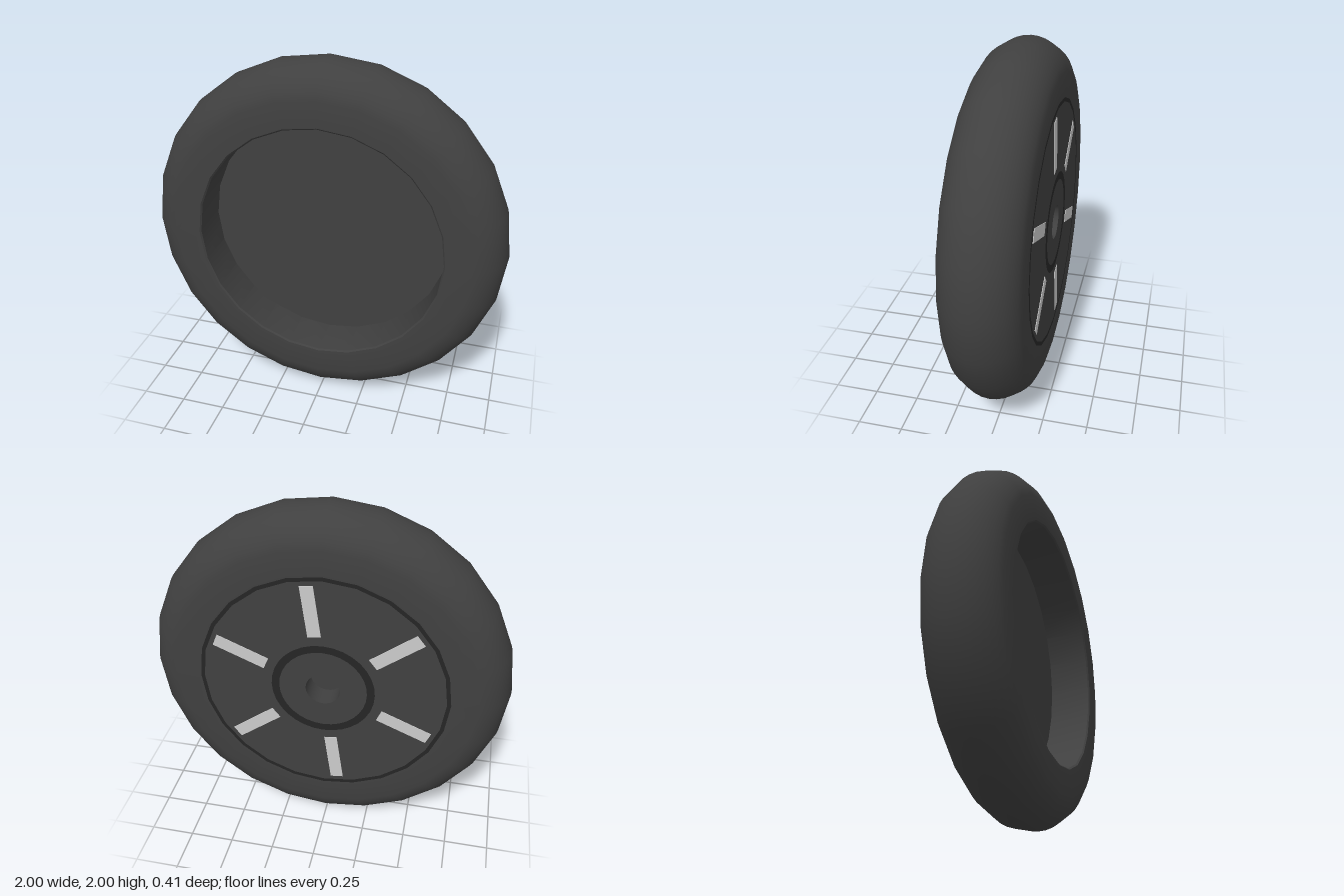
import * as THREE from 'three';
import { toCreasedNormals } from 'three/addons/utils/BufferGeometryUtils.js';

const rubber = new THREE.MeshStandardMaterial({ color: 0x404040 });
const trim = new THREE.MeshStandardMaterial({ color: 0x262626 });
const metal = new THREE.MeshStandardMaterial({ color: 0xcccccc });

const HALF = 0.207; // half of the wheel's width
const RIM = 0.69;   // radius of the opening in the tire
const BACK = -0.203; // back face of the disc

export function createModel() {
  const model = new THREE.Group();
  model.name = 'wheel';
  model.position.y = 1;

  const add = (name, geometry, material) => {
    const mesh = new THREE.Mesh(geometry, material);
    mesh.name = name;
    model.add(mesh);
    return mesh;
  };

  // Turns a [radius, z] profile around the axle
  const turn = (name, profile, sides) => {
    const points = profile.map(([r, z]) => new THREE.Vector2(r, z));
    const geometry = new THREE.LatheGeometry(points, sides).rotateX(Math.PI / 2);
    return add(name, toCreasedNormals(geometry, 0.7), rubber);
  };

  // Tire: rounded tread, flat sidewalls, small lip and straight inner wall
  const tire = [[RIM - 0.008, BACK + 0.008], [RIM, -HALF + 0.002]];
  for (let i = 0; i <= 14; i++) {
    const a = (i / 14 - 0.5) * Math.PI * 0.88;
    tire.push([0.793 + 0.207 * Math.cos(a), HALF * Math.sin(a) / Math.sin(0.44 * Math.PI)]);
  }
  tire.push([RIM, HALF - 0.002], [RIM - 0.008, HALF - 0.01], [RIM - 0.008, BACK + 0.008]);
  turn('tire', tire, 24);

  // Disc: closes the back and forms the floor of the front recess
  turn('disc', [[0.26, BACK], [RIM - 0.004, BACK], [RIM - 0.004, -0.04], [0, -0.04]], 24);

  // Hub with a blind axle hole
  turn('hub', [[0, -0.08], [0.095, -0.08], [0.095, BACK], [0.27, BACK]], 32);

  // Dark rings around the hub and along the disc's edge
  const ring = (name, inner, outer, sides) => {
    const geometry = new THREE.RingGeometry(inner, outer, sides).rotateY(Math.PI);
    add(name, geometry, trim).position.z = BACK - 0.002;
  };
  ring('hubRing', 0.242, 0.285, 32);
  ring('edgeRing', 0.668, RIM, 24);

  // Six pale radial bars on the back
  for (let i = 0; i < 6; i++) {
    const a = THREE.MathUtils.degToRad(82.7 + i * 60);
    const bar = add('spoke', new THREE.BoxGeometry(0.3, 0.072, 0.006), metal);
    bar.position.set(0.487 * Math.cos(a), 0.487 * Math.sin(a), BACK);
    bar.rotation.z = a;
  }

  const root = new THREE.Group();
  root.add(model);
  return root;
}
